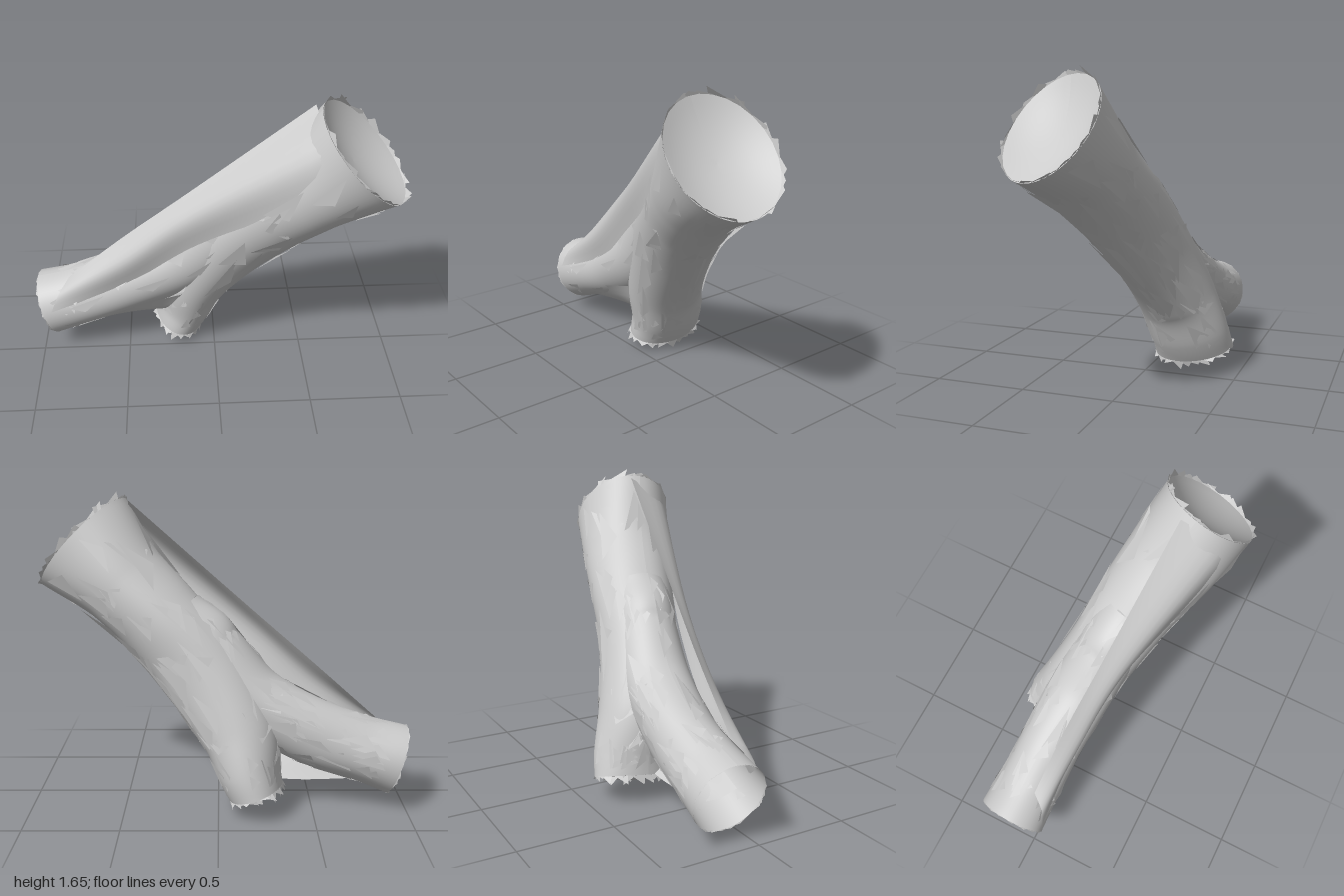
import * as THREE from 'three';

const material = new THREE.MeshStandardMaterial({ color: 0xcccccc, side: THREE.DoubleSide });
const V = (x, y, z) => new THREE.Vector3(x, y, z);

function seeded(seed) {
  return () => (seed = (seed * 16807) % 2147483647) / 2147483647;
}

function finish(name, pos, index) {
  const g = new THREE.BufferGeometry();
  g.setAttribute('position', new THREE.Float32BufferAttribute(pos, 3));
  if (index) g.setIndex(index);
  g.computeVertexNormals();
  const mesh = new THREE.Mesh(g, material);
  mesh.name = name;
  return mesh;
}

// Grid surface from a function of (s, t), each 0..1; cells whose centre is skipped are left open
function surface(name, f, ns, nt, skip = () => false) {
  const pos = [], index = [];
  for (let i = 0; i <= ns; i++)
    for (let j = 0; j <= nt; j++) pos.push(...f(i / ns, j / nt).toArray());
  for (let i = 0; i < ns; i++)
    for (let j = 0; j < nt; j++) {
      if (skip(f((i + 0.5) / ns, (j + 0.5) / nt))) continue;
      const a = i * (nt + 1) + j, b = a + nt + 1;
      index.push(a, a + 1, b, b, a + 1, b + 1);
    }
  return finish(name, pos, index);
}

// Tube from sections [x, y, z, radius in the xy plane, radius towards z]:
// a surface rule, and a test for points well inside it
function makeTube(sections) {
  const path = new THREE.CatmullRomCurve3(sections.map(s => V(s[0], s[1], s[2])));
  const radii = new THREE.CatmullRomCurve3(sections.map(s => V(s[3], s[4], 0)));
  const frame = s => {
    const axis = path.getTangent(s);
    const u = V(-axis.y, axis.x, 0).normalize();
    return { c: path.getPoint(s), r: radii.getPoint(s), axis, u, v: axis.clone().cross(u) };
  };
  const rule = (s, t, lift = 0) => {
    const k = THREE.MathUtils.clamp(s, 0, 1);
    const { c, r, axis, u, v } = frame(k);
    const a = t * Math.PI * 2;
    const bump = 1 + lift + 0.02 * Math.sin(3 * a + 9 * s) * Math.sin(Math.PI * k);
    return c.addScaledVector(axis, s - k)
      .addScaledVector(u, Math.cos(a) * r.x * bump)
      .addScaledVector(v, Math.sin(a) * r.y * bump);
  };
  const frames = Array.from({ length: 61 }, (_, i) => frame(i / 60));
  const inside = p => frames.some(({ c, r, axis, u, v }) => {
    const d = p.clone().sub(c);
    return Math.abs(d.dot(axis)) < 0.015 && Math.hypot(d.dot(u) / r.x, d.dot(v) / r.y) < 0.95;
  });
  return { rule, inside };
}

// Thin torn triangles lying just off a tube, outside the other one
function flakes(name, tube, other, count, rand) {
  const pos = [];
  for (let i = 0; i < count; i++) {
    const s = 0.04 + rand() * 0.85, t = rand();
    const len = 0.06 + rand() * 0.14, w = 0.03 + rand() * 0.06;
    if (other.inside(tube.rule(s, t))) continue;
    pos.push(...tube.rule(s, t, 0.02).toArray(),
      ...tube.rule(s + len * 0.4, t + w, 0.01 + 0.04 * rand()).toArray(),
      ...tube.rule(Math.min(s + len, 0.98), t + w * (rand() - 0.5), 0.05 * rand()).toArray());
  }
  return finish(name, pos);
}

// Jagged teeth along an end; dir is -1 at the start, 1 at the end, lift below 0 leans inward
function tornRim(name, { rule }, dir, count, reach, lift, rand) {
  const pos = [], end = dir > 0 ? 1 : 0;
  for (let i = 0; i < count; i++) {
    const t = i / count;
    pos.push(...rule(end, t).toArray(), ...rule(end, t + 1.6 / count).toArray(),
      ...rule(end + dir * reach * (0.2 + 0.8 * rand()), t + rand() * 2 / count, lift * rand()).toArray());
  }
  return finish(name, pos);
}

// Cap over a tube end, bulging outward by depth (inward if negative)
function endCap(name, { rule }, dir, depth) {
  const end = dir > 0 ? 1 : 0;
  const centre = rule(end, 0).lerp(rule(end, 0.5), 0.5);
  const outward = rule(end + dir, 0).sub(rule(end, 0));
  return surface(name, (s, t) => centre.clone().lerp(rule(end, t), s)
    .addScaledVector(outward, depth * (1 - s * s)), 8, 40);
}

// Sheet stretched over a few rails, each a short list of points
function sheet(name, rails, ns, nt) {
  const curves = rails.map(r => new THREE.CatmullRomCurve3(r.map(p => V(...p))));
  return surface(name, (s, t) =>
    new THREE.CatmullRomCurve3(curves.map(c => c.getPoint(s))).getPoint(t), ns, nt);
}

export function createModel() {
  const group = new THREE.Group();
  group.name = 'forkedTube';
  const rand = seeded(4127);

  // Main tube, leaning up to the left and forward
  const trunk = makeTube([
    [-0.2, 0.1, -0.22, 0.15, 0.225],
    [-0.165, 0.2, -0.205, 0.17, 0.22],
    [-0.11, 0.4, -0.15, 0.205, 0.215],
    [0.1, 0.74, -0.04, 0.235, 0.21],
    [0.31, 0.97, 0.04, 0.235, 0.23],
    [0.49, 1.14, 0.11, 0.245, 0.25],
    [0.73, 1.37, 0.2, 0.33, 0.26],
  ]);
  // Side branch, leaving low on the right and sweeping up into the trunk
  const branch = makeTube([
    [-0.955, 0.245, -0.14, 0.19, 0.19],
    [-0.75, 0.31, -0.13, 0.175, 0.18],
    [-0.5, 0.4, -0.12, 0.18, 0.175],
    [-0.2, 0.56, -0.08, 0.18, 0.18],
    [0.04, 0.78, -0.03, 0.2, 0.18],
    [0.24, 0.96, 0.03, 0.2, 0.18],
  ]);
  group.add(
    surface('trunk', trunk.rule, 70, 56, branch.inside),
    surface('branch', branch.rule, 70, 56, trunk.inside),
    flakes('trunkFlakes', trunk, branch, 110, rand),
    flakes('branchFlakes', branch, trunk, 90, rand),
    endCap('upperCap', trunk, 1, -0.08),
    endCap('lowerCap', trunk, -1, 0.03),
    tornRim('upperRim', trunk, 1, 26, 0.04, 0.05, rand),
    tornRim('lowerRim', trunk, -1, 30, 0.05, 0.1, rand),
    tornRim('branchRim', branch, -1, 30, 0.012, 0.02, rand),
  );

  // Membrane bridging the upper side of the fork
  group.add(sheet('upperMembrane', [
    [[-0.82, 0.48, -0.05], [-0.5, 0.76, -0.02], [-0.17, 1.04, 0.03], [0.48, 1.6, 0.13]],
    [[-0.88, 0.41, 0.02], [-0.52, 0.63, 0.065], [-0.17, 0.93, 0.125], [0.52, 1.47, 0.36]],
    [[-0.93, 0.3, 0.045], [-0.5, 0.48, 0.04], [-0.1, 0.79, 0.12], [0.58, 1.25, 0.41]],
  ], 24, 10));

  // Membrane closing the small gap under the fork
  group.add(sheet('lowerMembrane', [
    [[-0.8, 0.2, 0.01], [-0.45, 0.32, 0.03], [-0.12, 0.43, 0.06]],
    [[-0.76, 0.15, -0.06], [-0.45, 0.2, -0.07], [-0.17, 0.26, -0.02]],
    [[-0.72, 0.13, -0.14], [-0.45, 0.14, -0.18], [-0.26, 0.15, -0.18]],
  ], 16, 8));
  return group;
}
